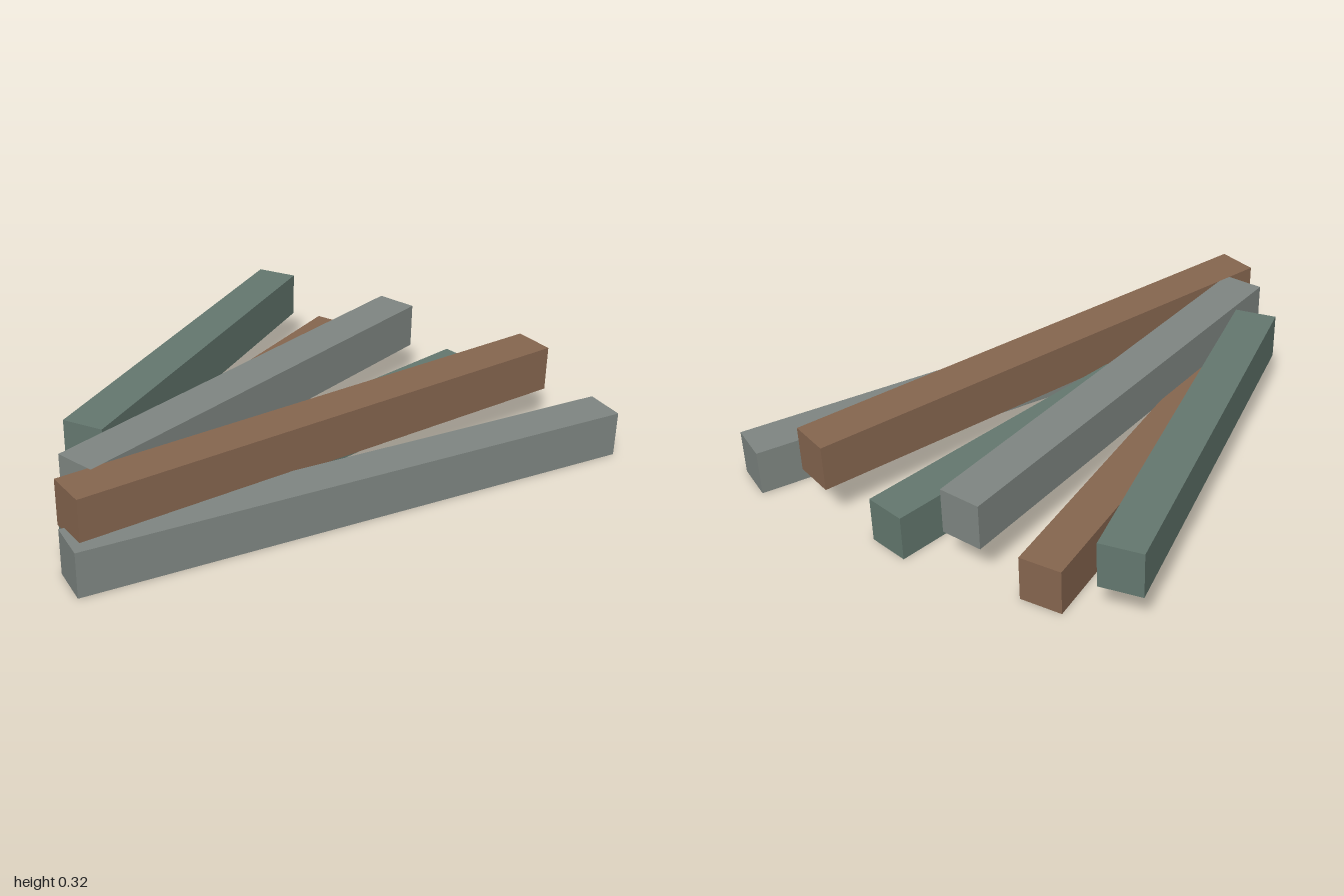
import * as THREE from 'three';

const GREY = 0x7f8682, GREEN = 0x64786f, BROWN = 0x86664f;
const HEIGHT = 0.165, WIDTH = 0.15;

// name, colour, length, centre z, turn in degrees
const layers = [
  { bottom: 0, beams: [
    ['lowerFrontBeam', GREY, 2.03, 0.447, -15],
    ['lowerMiddleBeam', GREEN, 1.8, 0.092, 0],
    ['lowerBackBeam', BROWN, 1.57, -0.261, 15],
  ] },
  { bottom: 0.153, beams: [
    ['upperFrontBeam', BROWN, 1.91, 0.27, -7.5],
    ['upperMiddleBeam', GREY, 1.675, -0.084, 7.5],
    ['upperBackBeam', GREEN, 1.455, -0.438, 22.5],
  ] },
];

export function createModel() {
  const model = new THREE.Group();
  model.name = 'beamPile';

  // Two fanned layers of square beams, the upper slightly sunk into the lower
  for (const { bottom, beams } of layers) {
    for (const [name, color, length, z, turn] of beams) {
      const beam = new THREE.Mesh(
        new THREE.BoxGeometry(length, HEIGHT, WIDTH),
        new THREE.MeshStandardMaterial({ color })
      );
      beam.name = name;
      beam.position.set(0, bottom + HEIGHT / 2, z);
      beam.rotation.y = THREE.MathUtils.degToRad(turn);
      model.add(beam);
    }
  }
  return model;
}
